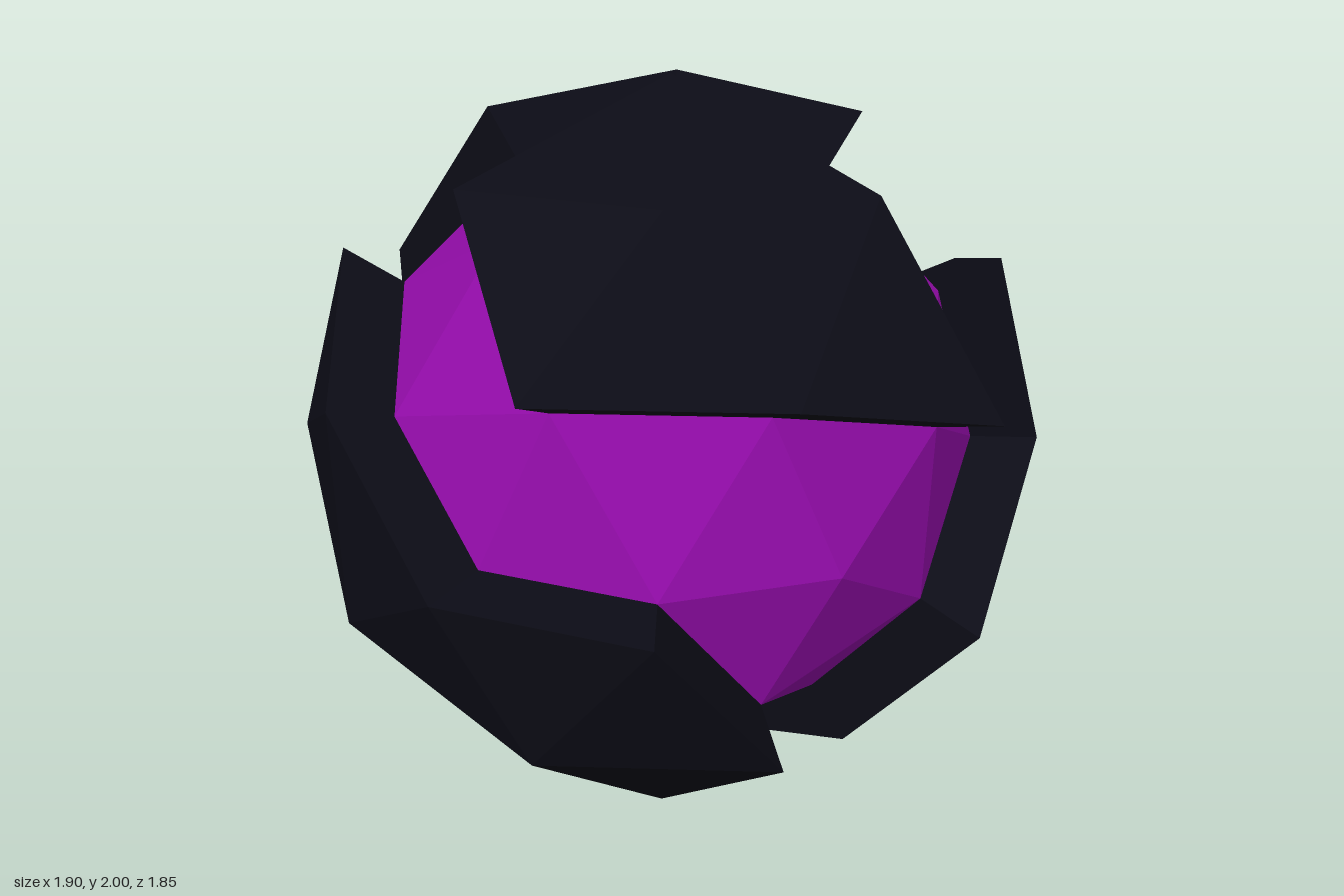
import * as THREE from 'three';

const CORE_RADIUS = 0.82, SHELL_RADIUS = 1;

// Rings of a once-subdivided icosahedron whose axis is z: letter -> [ring radius, z]
const RINGS = {
  F: [0, 1], a: [0.5257, 0.8507], m: [0.8507, 0.5257], i: [0.8944, 0.4472],
  e: [1, 0],
  j: [0.8944, -0.4472], n: [0.8507, -0.5257], b: [0.5257, -0.8507], B: [0, -1],
};

// A vertex key is a ring letter plus an angle in degrees, such as "a36"
function point(key, scale) {
  const [r, z] = RINGS[key[0]];
  const t = THREE.MathUtils.degToRad(Number(key.slice(1)));
  return [r * Math.cos(t) * scale, r * Math.sin(t) * scale, z * scale];
}

// The 80 triangles, as counter-clockwise key triples
function sphereFaces() {
  const faces = [];
  for (const [P, a, i, m, j, start, flip] of [
    ['F', 'a', 'i', 'm', 'j', 36, false],
    ['B', 'b', 'j', 'n', 'i', 0, true],
  ]) {
    for (let k = 0; k < 5; k++) {
      const t = start + 72 * k;
      const v = (ring, step) => ring + ((t + step) % 360);
      const group = [
        [P + '0', v(a, 0), v(a, 72)],
        [v(a, 0), v(i, 0), v(m, 36)],
        [v(a, 0), v(m, 36), v(a, 72)],
        [v(a, 72), v(m, 36), v(i, 72)],
        [v(i, 0), v('e', 18), v(m, 36)],
        [v(m, 36), v('e', 18), v('e', 54)],
        [v(m, 36), v('e', 54), v(i, 72)],
        [v('e', 18), v(j, 36), v('e', 54)],
      ];
      for (const f of group) faces.push(flip ? f.reverse() : f);
    }
  }
  return faces;
}

function makeMesh(name, positions, material) {
  const geometry = new THREE.BufferGeometry();
  geometry.setAttribute('position', new THREE.Float32BufferAttribute(positions, 3));
  geometry.computeVertexNormals();
  const mesh = new THREE.Mesh(geometry, material);
  mesh.name = name;
  return mesh;
}

// Shell plate: every face whose corners all belong to the plate, plus walls down to the core
function plate(name, keys, faces, material) {
  const set = new Set(keys.split(' '));
  const own = faces.filter((f) => f.every((key) => set.has(key)));
  const edges = new Set(own.flatMap((f) => f.map((key, q) => key + ',' + f[(q + 1) % 3])));
  const positions = own.flatMap((f) => f.flatMap((key) => point(key, SHELL_RADIUS)));
  for (const edge of edges) {
    const [p, q] = edge.split(',');
    if (edges.has(q + ',' + p)) continue;
    const P = point(p, SHELL_RADIUS), Q = point(q, SHELL_RADIUS);
    const p0 = point(p, CORE_RADIUS), q0 = point(q, CORE_RADIUS);
    positions.push(...P, ...p0, ...q0, ...P, ...q0, ...Q);
  }
  return makeMesh(name, positions, material);
}

export function createModel() {
  const model = new THREE.Group();
  model.name = 'crackedSphere';
  const coreMaterial = new THREE.MeshStandardMaterial({ color: 0x920ca8, flatShading: true });
  const shellMaterial = new THREE.MeshStandardMaterial({ color: 0x0c0c16, flatShading: true });
  const faces = sphereFaces();

  // Glowing inner ball
  model.add(makeMesh('core', faces.flatMap((f) => f.flatMap((k) => point(k, CORE_RADIUS))), coreMaterial));

  // Four separate shell plates
  const plates = {
    topFrontPlate: 'i108 a36 a108 m144 e126 e90 m72',
    leftPlate: 'i324 e342 e306 i36 e18 j0 n324 j288 e270 m288 a324 m0',
    rightPlate: 'm216 e198 i180 a180 a252 i252 e234 n252 j216 n180 j144 e162',
    backPlate: 'B0 b72 n108 j72 e54 n36 b0 b288 b216 b144',
  };
  for (const [name, keys] of Object.entries(plates)) model.add(plate(name, keys, faces, shellMaterial));

  for (const part of model.children) part.position.set(0, 1, 0.075);
  return model;
}
